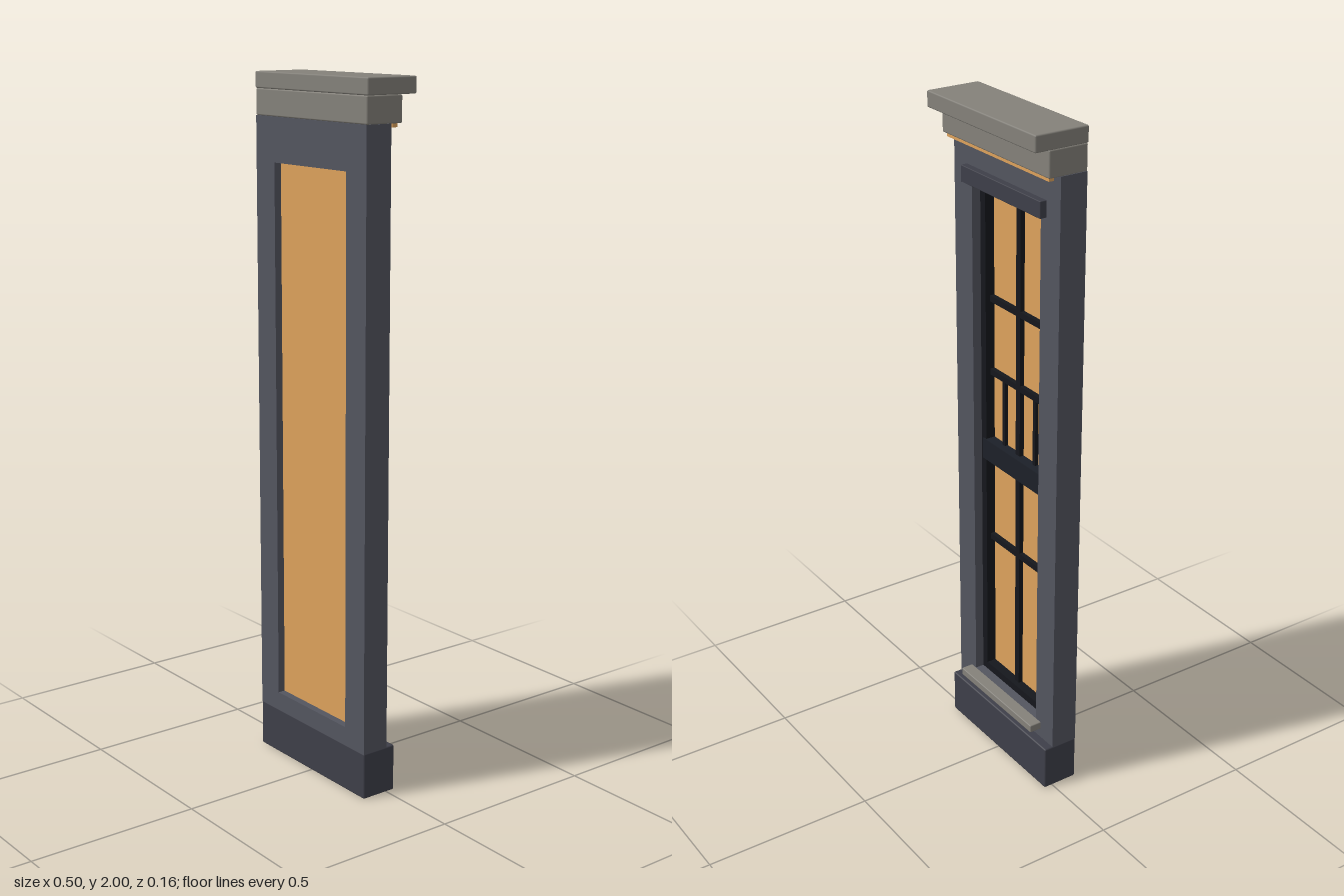
import * as THREE from 'three';
import { RoundedBoxGeometry } from 'three/addons/geometries/RoundedBoxGeometry.js';

const mat = (color, extra = {}) => new THREE.MeshStandardMaterial({ color, ...extra });

export function createModel() {
  const model = new THREE.Group();
  model.name = 'windowWallPanel';

  const wallMat = mat(0x53555f);
  const baseMat = mat(0x3e3f49);
  const stoneMat = mat(0x84817a);
  const frameMat = mat(0x15171c);
  const railMat = mat(0x1c2028);
  const glassMat = mat(0xdda25c);

  // Box given by its extents; a bevel gives softened edges
  function block(name, [x0, x1], [y0, y1], [z0, z1], material, bevel = 0, parent = model) {
    const size = [x1 - x0, y1 - y0, z1 - z0];
    const geo = bevel ? new RoundedBoxGeometry(...size, 1, bevel) : new THREE.BoxGeometry(...size);
    const mesh = new THREE.Mesh(geo, material);
    mesh.name = name;
    mesh.position.set((x0 + x1) / 2, (y0 + y1) / 2, (z0 + z1) / 2);
    parent.add(mesh);
    return mesh;
  }

  // Upright panel with a rectangular opening
  function holedPanel(name, w, y0, y1, hw, hy0, hy1, z0, z1, material, parent = model) {
    const rect = (P, h, a, b) => new P([[-h, a], [h, a], [h, b], [-h, b]].map(p => new THREE.Vector2(...p)));
    const shape = rect(THREE.Shape, w, y0, y1);
    shape.holes.push(rect(THREE.Path, hw, hy0, hy1));
    const geo = new THREE.ExtrudeGeometry(shape, { depth: z1 - z0, bevelEnabled: false });
    geo.translate(0, 0, z0);
    const mesh = new THREE.Mesh(geo, material);
    mesh.name = name;
    parent.add(mesh);
  }

  // Wall and plinth
  holedPanel('wall', 0.246, 0.135, 1.88, 0.161, 0.19, 1.755, 0, 0.082, wallMat);
  block('plinth', [-0.247, 0.247], [0, 0.137], [-0.027, 0.082], baseMat, 0.004);

  // Cornice in two steps with a light strip beneath
  block('lowerCornice', [-0.247, 0.247], [1.88, 1.954], [-0.037, 0.082], stoneMat, 0.004);
  block('upperCornice', [-0.25, 0.25], [1.954, 2], [-0.082, 0.082], stoneMat, 0.004);
  block('lightStrip', [-0.235, 0.235], [1.869, 1.88], [-0.029, -0.013], glassMat);

  // Lintel and sill
  block('lintel', [-0.185, 0.185], [1.755, 1.802], [-0.02, 0.002], baseMat, 0.002);
  block('sill', [-0.185, 0.185], [0.166, 0.19], [-0.037, 0.002], stoneMat, 0.003);

  // Window frame, glass and bars
  const win = new THREE.Group();
  win.name = 'window';
  model.add(win);
  holedPanel('windowFrame', 0.161, 0.19, 1.755, 0.137, 0.214, 1.731, 0.027, 0.056, frameMat, win);
  block('glass', [-0.161, 0.161], [0.19, 1.755], [0.056, 0.06], glassMat, 0, win);
  block('meetingRail', [-0.15, 0.15], [0.92, 0.985], [0.024, 0.056], railMat, 0, win);
  block('centreBar', [-0.01, 0.01], [0.21, 1.735], [0.042, 0.056], frameMat, 0, win);
  for (const y of [0.658, 1.195, 1.418]) {
    block('crossBar', [-0.14, 0.14], [y - 0.009, y + 0.009], [0.042, 0.056], frameMat, 0, win);
  }
  for (const x of [-0.075, 0.075]) {
    block('smallBar', [x - 0.006, x + 0.006], [0.98, 1.19], [0.045, 0.056], frameMat, 0, win);
  }

  return model;
}
